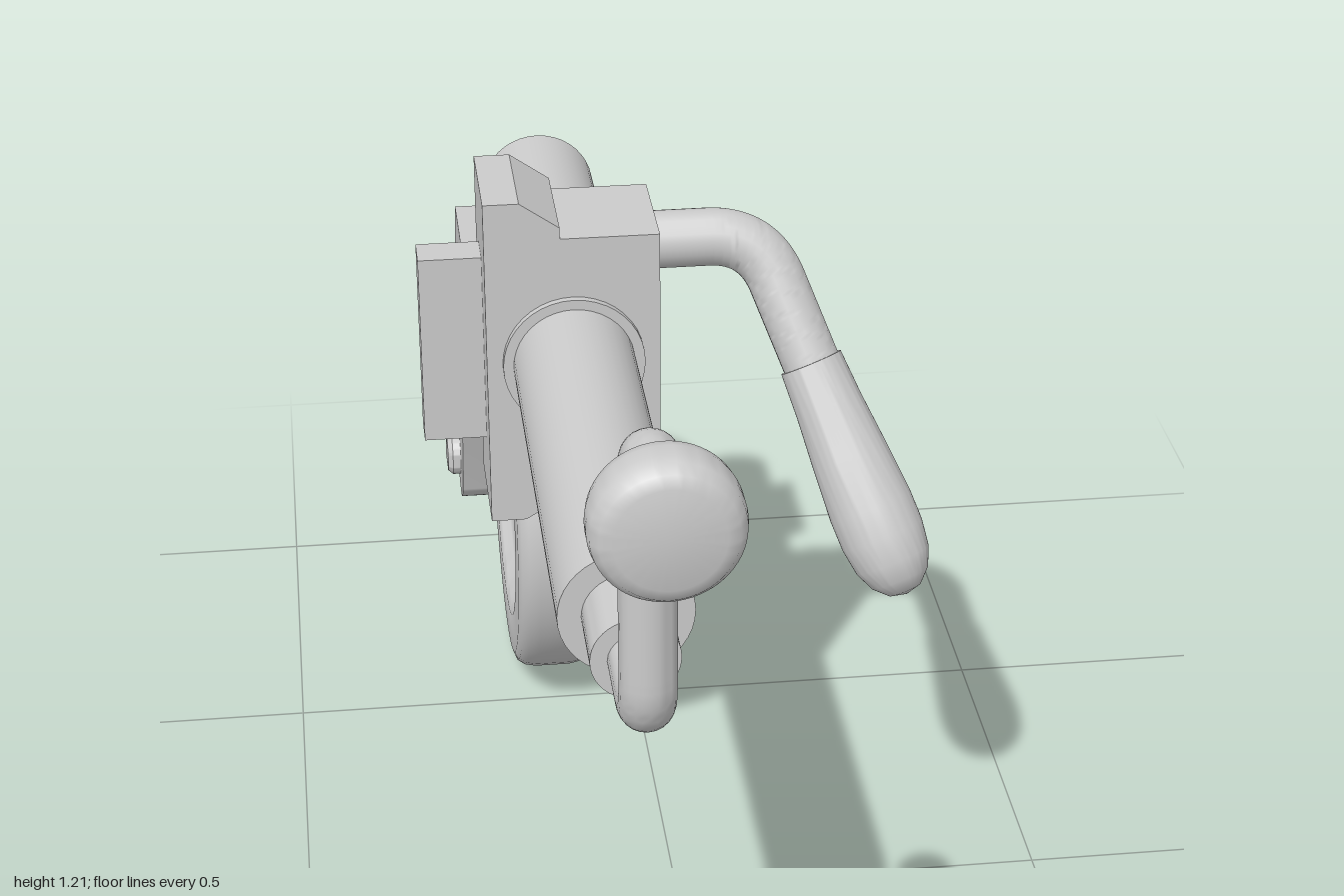
import * as THREE from 'three';
import { toCreasedNormals } from 'three/addons/utils/BufferGeometryUtils.js';

const CX = -0.125; // centre plane of tube, crank and wheel
const V = (x, y, z) => new THREE.Vector3(x, y, z);

export function createModel() {
  const model = new THREE.Group();
  const material = new THREE.MeshStandardMaterial({ color: 0xcccccc });

  const add = (name, geometry, crease = 0.6) => {
    const mesh = new THREE.Mesh(toCreasedNormals(geometry, crease), material);
    mesh.name = name;
    model.add(mesh);
    return mesh;
  };
  // Cylinder between two points
  const rod = (name, a, b, r) => {
    const mesh = add(name, new THREE.CylinderGeometry(r, r, a.distanceTo(b), 40));
    mesh.position.copy(a).lerp(b, 0.5);
    mesh.quaternion.setFromUnitVectors(V(0, 1, 0), b.clone().sub(a).normalize());
    return mesh;
  };
  // Lathe from [radius, height] pairs, its axis along dir
  const turned = (name, profile, origin, dir, crease) => {
    const points = profile.map(([r, h]) => new THREE.Vector2(r, h));
    const mesh = add(name, new THREE.LatheGeometry(points, 64), crease);
    mesh.position.copy(origin);
    mesh.quaternion.setFromUnitVectors(V(0, 1, 0), dir.clone().normalize());
    return mesh;
  };
  // Round bar through corner points, each corner rounded by the given radius
  const bentBar = (name, corners, r, bend) => {
    const path = new THREE.CurvePath();
    let from = corners[0];
    for (let i = 1; i < corners.length - 1; i++) {
      const c = corners[i];
      const start = c.clone().add(corners[i - 1].clone().sub(c).setLength(bend));
      const end = c.clone().add(corners[i + 1].clone().sub(c).setLength(bend));
      path.add(new THREE.LineCurve3(from, start));
      path.add(new THREE.QuadraticBezierCurve3(start, c, end));
      from = end;
    }
    path.add(new THREE.LineCurve3(from, corners.at(-1)));
    return add(name, new THREE.TubeGeometry(path, 100, r, 24), 1);
  };

  // Main tube with its step and the clamp collar
  rod('mainTube', V(CX, 0.8, -0.585), V(CX, 0.8, 0.585), 0.077);
  rod('crankSocket', V(CX, 0.8, 0.57), V(CX, 0.8, 0.68), 0.05);
  rod('clampCollar', V(CX, 0.8, -0.195), V(CX, 0.8, -0.025), 0.09);

  // Crank and knob
  bentBar('crank', [V(CX, 0.8, 0.66), V(CX, 0.8, 0.8), V(CX, 1.13, 0.8), V(CX, 1.13, 0.94)], 0.031, 0.055);
  turned('crankKnob', [[0, 0], [0.055, 0], [0.068, 0.005], [0.076, 0.016], [0.078, 0.028],
    [0.078, 0.047], [0.076, 0.059], [0.068, 0.07], [0.055, 0.075], [0, 0.075]],
    V(CX, 1.13, 0.925), V(0, 0, 1), 0.8);

  // Clamp block with a taller jaw on one side
  const block = new THREE.Shape([
    [-0.235, 0.575], [-0.19, 0.575], [-0.14, 0.605], [-0.14, 0.62], [-0.015, 0.62],
    [-0.015, 0.97], [-0.14, 0.97], [-0.14, 0.985], [-0.19, 1.02], [-0.235, 1.02],
  ].map(([x, y]) => new THREE.Vector2(x, y)));
  add('clampBlock', new THREE.ExtrudeGeometry(block, { depth: 0.155, bevelEnabled: false }))
    .position.z = -0.19;
  add('mountingPlate', new THREE.BoxGeometry(0.09, 0.255, 0.05)).position.set(-0.27, 0.797, -0.115);

  // Clamp handle and its swollen grip
  const gripStart = V(0.18, 0.775, -0.045);
  const gripDir = V(0.11, -0.275, 0.14);
  bentBar('clampHandle', [V(-0.04, 0.925, -0.118), V(0.12, 0.925, -0.118),
    gripStart.clone().addScaledVector(gripDir, 0.1)], 0.037, 0.065);
  turned('handleGrip', [[0, 0], [0.041, 0], [0.044, 0.06], [0.05, 0.13], [0.055, 0.2], [0.055, 0.24],
    [0.05, 0.275], [0.039, 0.3], [0.022, 0.317], [0, 0.323]], gripStart, gripDir, 0.8);

  // Wheel: rounded tyre, small groove, recessed disc
  const side = [[0, 0.034], [0.212, 0.034], [0.222, 0.038], [0.23, 0.05], [0.24, 0.055],
    [0.295, 0.055], [0.308, 0.05], [0.315, 0.04], [0.318, 0.025]];
  turned('wheel', [...side.map(([r, h]) => [r, -h]), ...side.slice().reverse()],
    V(CX, 0.319, -0.682), V(1, 0, 0), 0.7);

  // Fork legs: slanted plates with a round foot
  const leg = new THREE.Shape();
  leg.moveTo(0.38, 0.795);
  leg.lineTo(0.612, 0.308);
  leg.absarc(0.672, 0.335, 0.066, Math.PI + 0.43, 2 * Math.PI + 0.43, false);
  leg.lineTo(0.54, 0.795);
  for (const s of [-1, 1]) {
    const plate = add('forkLeg', new THREE.ExtrudeGeometry(leg, { depth: 0.055, bevelEnabled: false, curveSegments: 20 }));
    plate.rotation.y = Math.PI / 2; // shape x runs to -z
    plate.position.x = CX + s * 0.092 - 0.0275;
    // Domed axle end
    turned('axleEnd', [[0.032, -0.03], [0.032, 0.012], [0.026, 0.019], [0, 0.021]],
      V(CX + s * 0.119, 0.335, -0.672), V(s, 0, 0), 0.7);
  }
  rod('axle', V(CX - 0.1, 0.335, -0.672), V(CX + 0.1, 0.335, -0.672), 0.032);

  return model;
}
